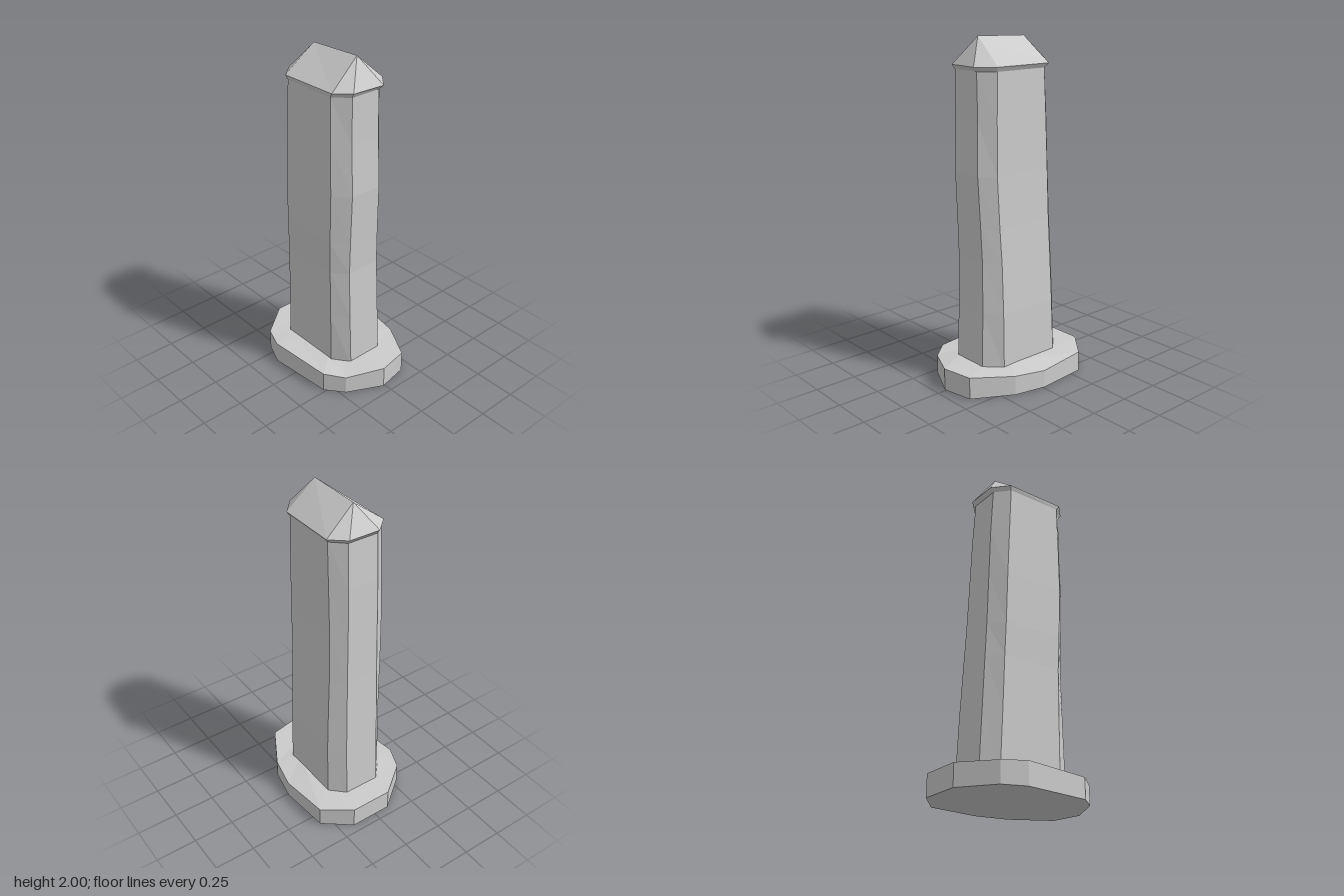
import * as THREE from 'three';

const material = new THREE.MeshStandardMaterial({ color: 0xcccccc, flatShading: true });

// Skins a stack of equal-length rings (listed bottom to top) and closes both ends.
function loft(name, rings, capBottom = true, capTop = true) {
  const pos = [];
  const tri = (a, b, c) => {
    if (new THREE.Triangle(a, b, c).getArea() > 1e-7) {
      for (const p of [a, b, c]) pos.push(p.x, p.y, p.z);
    }
  };
  const n = rings[0].length;
  const centre = (ring) => ring.reduce((s, p) => s.add(p), new THREE.Vector3()).divideScalar(n);
  for (let r = 0; r < rings.length - 1; r++) {
    for (let i = 0; i < n; i++) {
      const j = (i + 1) % n, low = rings[r], high = rings[r + 1];
      tri(low[i], high[i], high[j]);
      tri(low[i], high[j], low[j]);
    }
  }
  const bottom = rings[0], top = rings[rings.length - 1];
  const cb = centre(bottom), ct = centre(top);
  for (let i = 0; i < n; i++) {
    const j = (i + 1) % n;
    if (capBottom) tri(cb, bottom[i], bottom[j]);
    if (capTop) tri(ct, top[j], top[i]);
  }
  const geometry = new THREE.BufferGeometry();
  geometry.setAttribute('position', new THREE.Float32BufferAttribute(pos, 3));
  geometry.computeVertexNormals();
  const mesh = new THREE.Mesh(geometry, material);
  mesh.name = name;
  return mesh;
}

const v = (x, y, z) => new THREE.Vector3(x, y, z);

// Chamfered rectangle: outer x, inner x, outer z and inner z at one height.
function octagon([y, xl, xli, xri, xr, zb, zbi, zfi, zf]) {
  return [
    v(xli, y, zb), v(xri, y, zb), v(xr, y, zbi), v(xr, y, zfi),
    v(xri, y, zf), v(xli, y, zf), v(xl, y, zfi), v(xl, y, zbi),
  ];
}

export function createModel() {
  const group = new THREE.Group();
  group.name = 'stonePillar';

  // Rough foot slab: outline x, z and the height of its worn top edge
  const outline = [
    [-0.45, -0.16, 0.13], [-0.32, -0.32, 0.12], [-0.01, -0.345, 0.105], [0.18, -0.305, 0.115],
    [0.41, -0.175, 0.13], [0.445, 0.01, 0.132], [0.34, 0.22, 0.11], [0.235, 0.305, 0.12],
    [-0.165, 0.342, 0.132], [-0.3, 0.29, 0.125], [-0.45, 0.097, 0.13],
  ];
  group.add(loft('footSlab', [
    outline.map(([x, z]) => v(x, 0, z)),
    outline.map(([x, z, y]) => v(x, y, z)),
    outline.map(([x, z]) => v(x * 0.6, 0.132, z * 0.6)),
  ]));

  // Slightly crooked eight-sided shaft
  const levels = [
    [0.1, -0.308, -0.226, 0.166, 0.264, -0.193, -0.11, 0.112, 0.185],
    [0.45, -0.294, -0.213, 0.166, 0.253, -0.187, -0.107, 0.113, 0.187],
    [0.75, -0.282, -0.205, 0.166, 0.246, -0.174, -0.098, 0.114, 0.19],
    [0.95, -0.273, -0.2, 0.173, 0.252, -0.164, -0.092, 0.114, 0.196],
    [1.25, -0.264, -0.193, 0.184, 0.264, -0.156, -0.084, 0.114, 0.199],
    [1.55, -0.255, -0.18, 0.182, 0.256, -0.153, -0.078, 0.114, 0.197],
    [1.82, -0.24, -0.167, 0.178, 0.256, -0.15, -0.072, 0.114, 0.194],
  ];
  group.add(loft('shaft', levels.map(octagon)));

  // Flared rim and hipped roof; the roof ring closes onto the two ridge ends
  const rim = [
    [-0.183, -0.168], [0.185, -0.165], [0.283, -0.08], [0.272, 0.12],
    [0.195, 0.2], [-0.175, 0.204], [-0.26, 0.112], [-0.26, -0.08],
  ].map(([x, z]) => v(x, 1.846, z));
  const left = v(-0.16, 1.99, 0.015), right = v(0.176, 2, 0.012);
  const ridge = rim.map((p) => (p.x < 0 ? left : right));
  group.add(loft('cap', [octagon(levels[levels.length - 1]), rim, ridge], true, false));

  return group;
}
